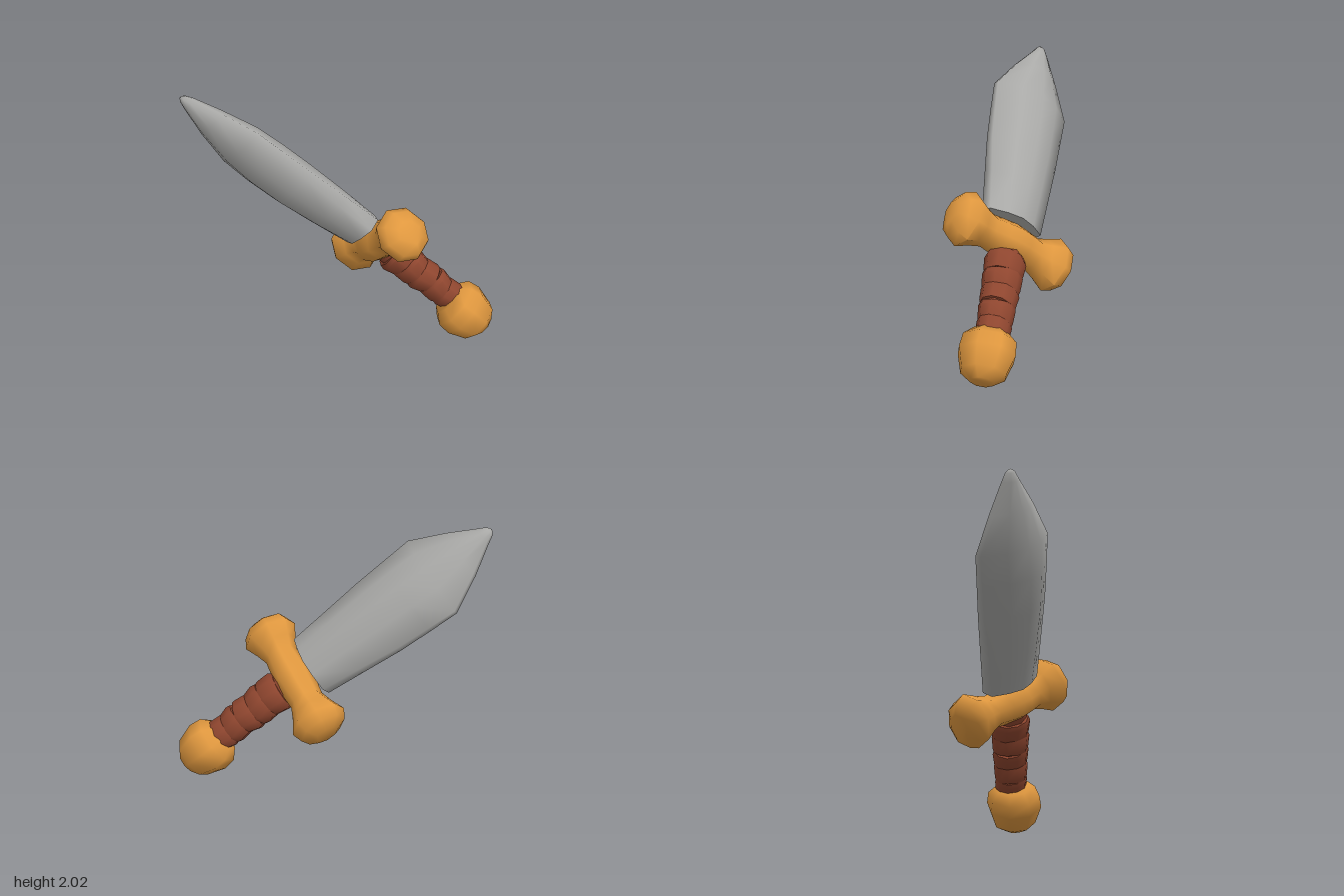
import * as THREE from 'three';
import { toCreasedNormals } from 'three/addons/utils/BufferGeometryUtils.js';

// Skin a list of equal-length rings stacked along +y, with closed ends.
function loft(rings, crease) {
  const n = rings[0].length, pos = [], idx = [];
  rings.forEach(r => r.forEach(p => pos.push(...p)));
  for (let i = 0; i < rings.length - 1; i++) {
    for (let j = 0; j < n; j++) {
      const a = i * n + j, b = i * n + (j + 1) % n;
      idx.push(a, a + n, b, b, a + n, b + n);
    }
  }
  const last = (rings.length - 1) * n;
  for (let j = 1; j < n - 1; j++) {
    idx.push(0, j, j + 1, last, last + j + 1, last + j);
  }
  const g = new THREE.BufferGeometry();
  g.setAttribute('position', new THREE.Float32BufferAttribute(pos, 3));
  g.setIndex(idx);
  return toCreasedNormals(g, crease);
}

// Polygonal ring with radii rx, rz at height y.
function ring(y, rx, rz, sides = 8, turn = 0) {
  return Array.from({ length: sides }, (_, i) => {
    const t = (i + turn) / sides * Math.PI * 2;
    return [rx * Math.cos(t), y, rz * Math.sin(t)];
  });
}

// Blade section: half width w, edge half thickness e, middle half thickness c, shift z0.
function bladeRing([y, w, e, c, z0]) {
  const m = e + (c - e) * 0.68;
  const half = [[w, e], [w * 0.5, m], [0, c], [-w * 0.5, m], [-w, e]];
  return [...half, ...half.map(([x, z]) => [-x, -z])].map(([x, z]) => [x, y, z + z0]);
}

export function createModel() {
  const model = new THREE.Group();
  model.name = 'sword';

  const steel = new THREE.MeshStandardMaterial({ color: 0xa9a9a7 });
  steel.name = 'steel grey';
  const gold = new THREE.MeshStandardMaterial({ color: 0xe0983f });
  gold.name = 'gold';
  const leather = new THREE.MeshStandardMaterial({ color: 0x8f462f });
  leather.name = 'leather brown';

  // The sword is built upright with the pommel at the origin, then tilted.
  const sword = new THREE.Group();
  sword.name = 'tiltedSword';
  model.add(sword);
  const add = (name, geometry, material, parent = sword) => {
    const mesh = new THREE.Mesh(geometry, material);
    mesh.name = name;
    parent.add(mesh);
    return mesh;
  };

  // Leaf-shaped blade with a strongly swollen middle and thin edges
  add('blade', loft([
    [1.08, 0.25, 0.05, 0.14, -0.025],
    [1.4, 0.285, 0.045, 0.17, -0.01],
    [1.73, 0.325, 0.035, 0.19, 0.005],
    [2.0, 0.342, 0.03, 0.19, 0.012],
    [2.23, 0.355, 0.025, 0.17, 0.015],
    [2.5, 0.205, 0.025, 0.115, 0.01],
    [2.71, 0.07, 0.02, 0.055, 0],
    [2.77, 0.035, 0.015, 0.03, 0],
    [2.79, 0.012, 0.006, 0.01, 0],
  ].map(bladeRing), 1.25), steel);

  // Crossguard: narrow waist flaring into two knobs
  const halfGuard = [
    [0.1, 0.14, 0.165], [0.22, 0.13, 0.14], [0.31, 0.165, 0.16],
    [0.42, 0.22, 0.205], [0.5, 0.185, 0.17], [0.55, 0.1, 0.09],
  ];
  const guardRows = [
    ...halfGuard.map(([y, a, c]) => [-y, a, c]).reverse(),
    [0, 0.15, 0.175],
    ...halfGuard,
  ];
  const guardGeo = loft(guardRows.map(([y, a, c]) => ring(y, a, c, 8, 0.5)), 1.1);
  guardGeo.rotateZ(-Math.PI / 2);
  add('crossguard', guardGeo, gold).position.set(0, 0.915, -0.036);

  // Grip: overlapping leather bands, each tilted a little differently
  const grip = new THREE.Group();
  grip.name = 'grip';
  grip.position.set(0, -0.03, -0.03);
  sword.add(grip);
  add('gripCore', loft([ring(0.1, 0.12, 0.1), ring(0.9, 0.14, 0.12)], 1.0), leather, grip);
  const tilts = [[0.12, 0.1], [-0.14, -0.14], [0.14, 0.16], [-0.1, -0.14], [0.08, 0.06]];
  tilts.forEach(([tx, tz], i) => {
    const r = 0.13 + i * 0.007;
    const band = add('gripBand', loft([
      ring(-0.085, r * 0.93, r * 0.8, 10), ring(-0.06, r, r * 0.86, 10),
      ring(0.04, r * 1.06, r * 0.92, 10), ring(0.075, r * 0.96, r * 0.83, 10),
    ], 0.8), leather, grip);
    band.position.y = 0.22 + i * 0.13;
    band.rotation.set(tx, 0, tz);
  });

  // Rounded pommel
  add('pommel', loft([
    [-0.215, 0.09], [-0.15, 0.175], [0, 0.222], [0.1, 0.21], [0.17, 0.14],
  ].map(([y, r]) => ring(y, r, r, 8, 0.25)), 1.1), gold);

  // Tilt: y runs along the blade, x along the guard
  const along = new THREE.Vector3(-1.77, 1.78, -1.24).normalize();
  const across = new THREE.Vector3(0, 0.547, 0.837);
  across.addScaledVector(along, -across.dot(along)).normalize();
  const normal = new THREE.Vector3().crossVectors(across, along);
  sword.quaternion.setFromRotationMatrix(new THREE.Matrix4().makeBasis(across, along, normal));
  sword.position.set(0.785, 0.215, 0.54);

  return model;
}
